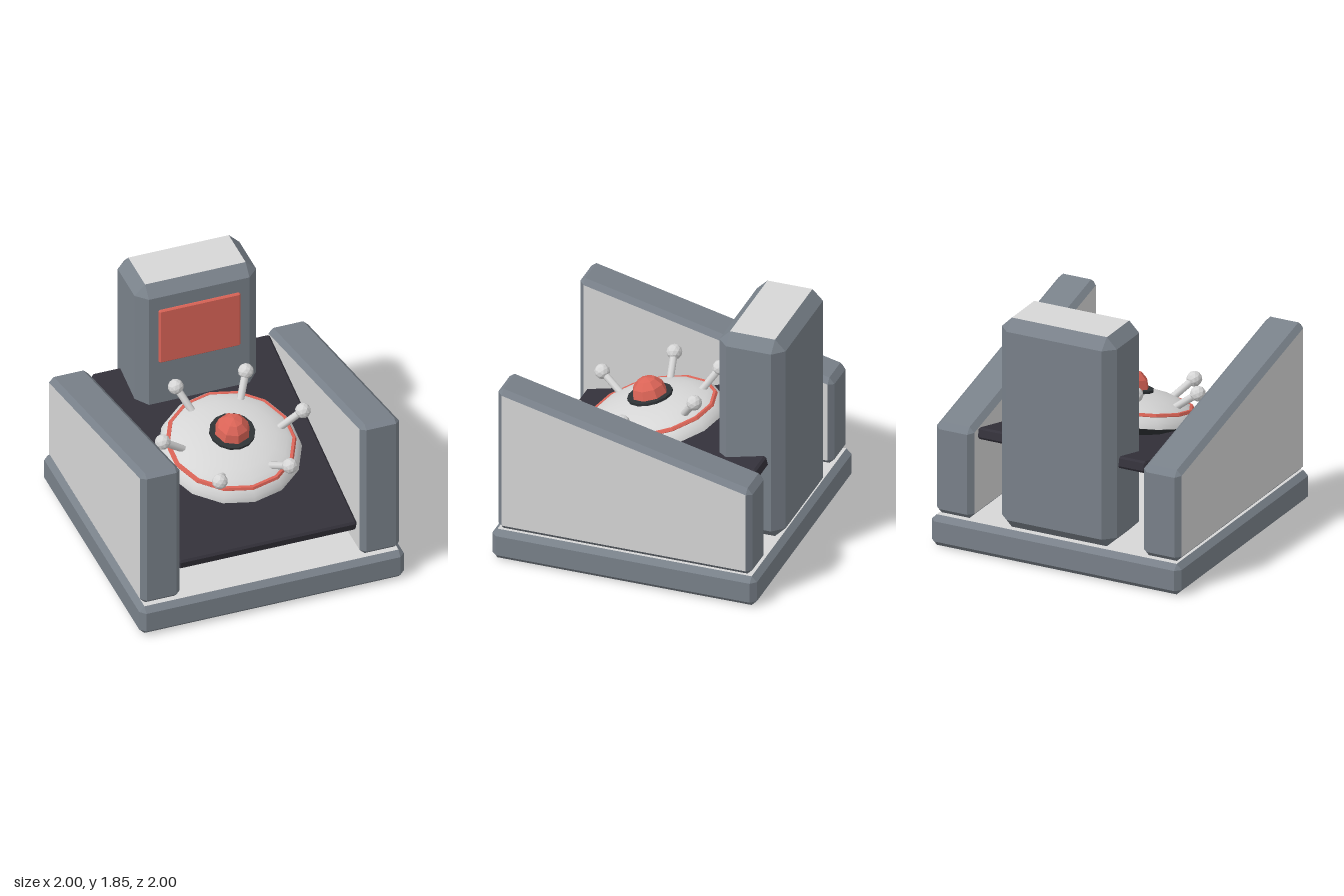
import * as THREE from 'three';
import { ConvexGeometry } from 'three/addons/geometries/ConvexGeometry.js';

const mat = (name, color, extra = {}) => Object.assign(new THREE.MeshStandardMaterial({ color, ...extra }), { name });

// Box with every edge cut at 45 degrees; shear tilts the top along z.
// Faces square to capAxis go to material group 0, all others to group 1.
function chamferBox(w, h, d, c, capAxis = 1, shear = 0) {
  const pts = [];
  for (const x of [-1, 1]) for (const y of [-1, 1]) for (const z of [-1, 1]) {
    for (let a = 0; a < 3; a++) {
      const cut = [0, 1, 2].map((i) => (i === a ? 0 : c));
      const p = new THREE.Vector3(x * (w / 2 - cut[0]), y * (h / 2 - cut[1]), z * (d / 2 - cut[2]));
      if (y > 0) p.y += shear * p.z;
      pts.push(p);
    }
  }
  const hull = new ConvexGeometry(pts);
  const pos = hull.getAttribute('position');
  const caps = [], rest = [];
  const tri = new THREE.Triangle(), n = new THREE.Vector3();
  for (let i = 0; i < pos.count; i += 3) {
    tri.setFromAttributeAndIndices(pos, i, i + 1, i + 2);
    tri.getNormal(n);
    const list = Math.abs(n.getComponent(capAxis)) > 0.99 ? caps : rest;
    for (const v of [tri.a, tri.b, tri.c]) list.push(v.clone());
  }
  const geo = new THREE.BufferGeometry().setFromPoints([...caps, ...rest]);
  geo.computeVertexNormals();
  geo.addGroup(0, caps.length, 0);
  geo.addGroup(caps.length, rest.length, 1);
  return geo;
}

export function createModel() {
  const grey = mat('slate grey', 0x79818a);
  const light = mat('light grey', 0xd6d6d6);
  const lightFlat = mat('light grey faceted', 0xd6d6d6, { flatShading: true });
  const red = mat('coral red', 0xdb6457, { flatShading: true });
  const seatDark = mat('dark plum', 0x33313a);
  const trimDark = mat('dark trim', 0x2f3336, { flatShading: true });

  const model = new THREE.Group();
  const add = (parent, name, geo, material, x = 0, y = 0, z = 0) => {
    const mesh = new THREE.Mesh(geo, material);
    mesh.name = name;
    mesh.position.set(x, y, z);
    parent.add(mesh);
    return mesh;
  };

  // Base, side walls and rear column
  add(model, 'base', chamferBox(2, 0.235, 2, 0.04), [light, grey], 0, 0.1175, 0);
  for (const s of [1, -1]) {
    add(model, s > 0 ? 'leftWall' : 'rightWall', chamferBox(0.3, 0.92, 1.92, 0.038, 0, 0.2385), [light, grey], s * 0.83, 0.7, 0);
  }
  add(model, 'column', chamferBox(0.92, 1.61, 0.5, 0.08), [light, grey], 0, 1.045, -0.75);
  add(model, 'screen', chamferBox(0.615, 0.46, 0.04, 0.01), [red, red], 0, 1.43, -0.5);

  // Sloping deck carrying the saucer
  const deck = new THREE.Group();
  deck.name = 'deck';
  deck.position.y = 0.678;
  deck.rotation.x = 0.235;
  model.add(deck);
  add(deck, 'ramp', chamferBox(1.345, 0.085, 1.83, 0.015), [seatDark, seatDark]);

  const saucer = new THREE.Group();
  saucer.name = 'saucer';
  saucer.position.set(0, 0.137, 0.0925);
  deck.add(saucer);

  // Hull: flattened dome above, dark cone below
  const R = 0.515, H = 0.19, sides = 14;
  const profile = [];
  for (let i = 0; i <= 7; i++) {
    const a = (i / 7) * Math.PI / 2;
    profile.push(new THREE.Vector2(R * Math.cos(a), H * Math.sin(a)));
  }
  profile[7].x = 0;
  add(saucer, 'saucerDome', new THREE.LatheGeometry(profile, sides), light);
  add(saucer, 'saucerUnderside', new THREE.CylinderGeometry(R, 0.3, 0.085, sides), trimDark, 0, -0.0435, 0);

  // Red band, collar and cockpit bubble
  const band = new THREE.TorusGeometry(0.45, 0.02, 6, sides);
  band.rotateZ(Math.PI / 2).rotateX(Math.PI / 2);
  add(saucer, 'band', band, red, 0, 0.082, 0);
  add(saucer, 'collar', new THREE.CylinderGeometry(0.165, 0.165, 0.04, sides), trimDark, 0, 0.178, 0);
  add(saucer, 'bubble', new THREE.SphereGeometry(0.13, 8, 6), red, 0, 0.198, 0);

  // Six slanted posts with faceted knobs
  const inner = new THREE.Vector3(0.35, 0.105, 0), outer = new THREE.Vector3(0.53, 0.247, 0);
  const dir = outer.clone().sub(inner);
  for (let i = 0; i < 6; i++) {
    const arm = new THREE.Group();
    arm.name = 'arm' + (i + 1);
    arm.rotation.y = (i * Math.PI) / 3;
    saucer.add(arm);
    const mid = inner.clone().add(outer).multiplyScalar(0.5);
    const post = add(arm, 'post', new THREE.CylinderGeometry(0.027, 0.027, dir.length(), 8), light, mid.x, mid.y, 0);
    post.quaternion.setFromUnitVectors(new THREE.Vector3(0, 1, 0), dir.clone().normalize());
    add(arm, 'knob', new THREE.IcosahedronGeometry(0.057, 1), lightFlat, outer.x, outer.y, 0);
  }
  return model;
}
